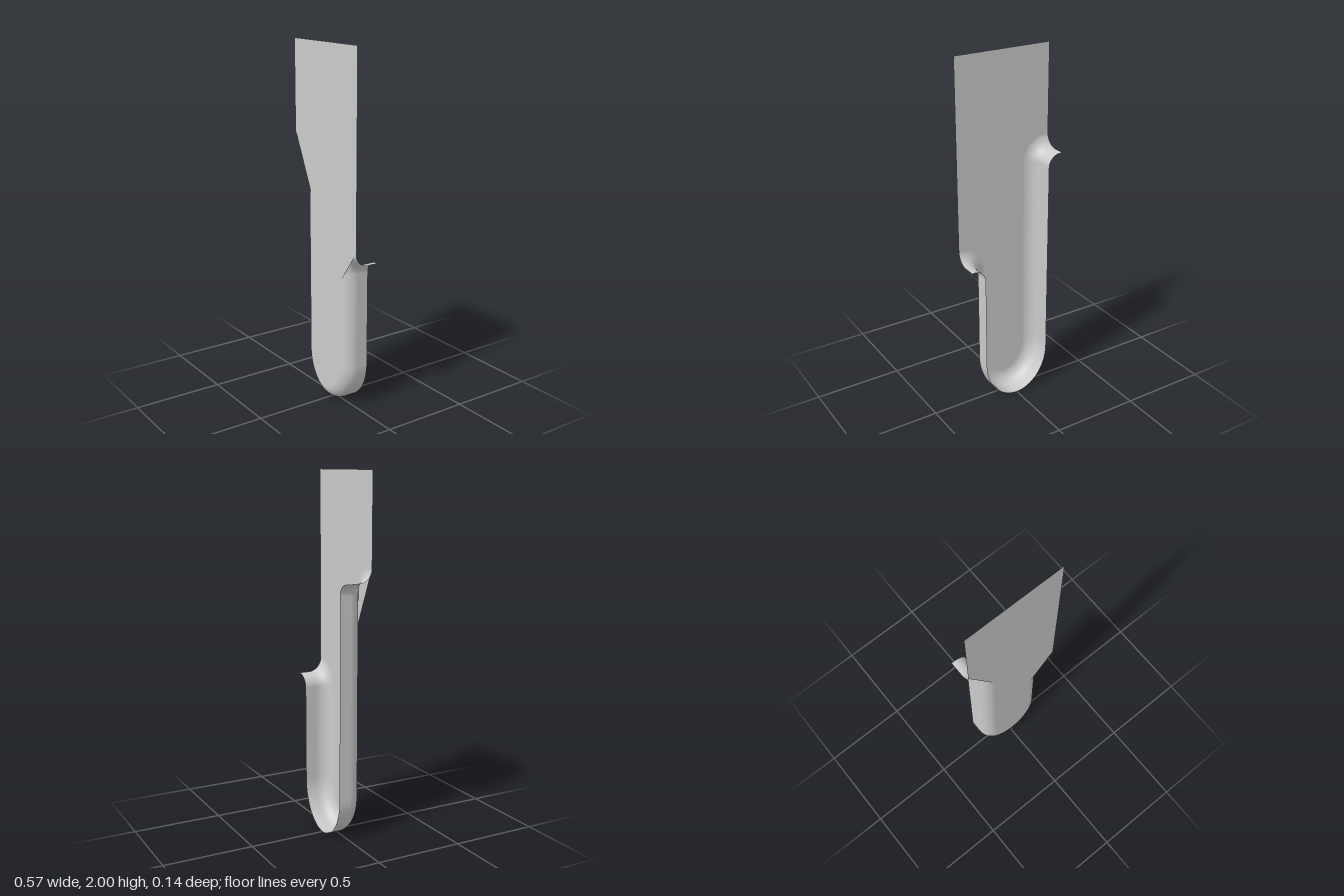
import * as THREE from 'three';

const FRONT = 0.07, BACK = -0.07, R = 0.075; // face planes and radius of the rolled edge

export function createModel() {
  const group = new THREE.Group();
  group.name = 'rolledBlade';
  const material = new THREE.MeshStandardMaterial({ color: 0xcccccc, side: THREE.DoubleSide });

  // Outer outline: left shoulder, left side, round tip, right side, right shoulder
  const outline = new THREE.Path();
  outline.moveTo(-0.285, 1.43).lineTo(-0.27, 1.43);
  outline.absarc(-0.27, 1.36, 0.07, Math.PI / 2, 0, true);
  outline.lineTo(-0.2, 0.25);
  outline.absellipse(0, 0.25, 0.2, 0.25, Math.PI, 2 * Math.PI, false);
  outline.lineTo(0.2, 0.79);
  outline.absarc(0.27, 0.79, 0.07, Math.PI, Math.PI / 2, true);
  outline.lineTo(0.285, 0.86);

  // Sample points with outward normals
  const stations = [];
  for (const curve of outline.curves) {
    if (curve.getLength() < 1e-4) continue;
    const n = curve.isLineCurve ? 1 : curve.xRadius > 0.1 ? 48 : 16;
    for (let i = 0; i <= n; i++) {
      const p = curve.getPoint(i / n), t = curve.getTangent(i / n);
      stations.push({ p, n: new THREE.Vector2(t.y, -t.x), tip: curve.xRadius > 0.1 });
    }
  }

  // Cross-section of the edge: quarter round, then a straight wall to the back
  const profile = [];
  for (let j = 0; j <= 12; j++) {
    const a = (j / 12) * Math.PI / 2;
    profile.push({ inset: R * (1 - Math.sin(a)), z: FRONT - R * (1 - Math.cos(a)), out: Math.sin(a), fwd: Math.cos(a) });
  }
  profile.push({ inset: 0, z: BACK, out: 1, fwd: 0 });

  // Rolled edge swept along the outline
  const pos = [], nor = [], idx = [], cols = profile.length;
  stations.forEach(({ p, n }, i) => {
    profile.forEach((q, j) => {
      pos.push(p.x - n.x * q.inset, p.y - n.y * q.inset, q.z);
      nor.push(n.x * q.out, n.y * q.out, q.fwd);
      if (i < stations.length - 1 && j < cols - 1) {
        const a = i * cols + j, b = a + cols;
        idx.push(a, a + 1, b, b, a + 1, b + 1);
      }
    });
  });
  const edge = new THREE.BufferGeometry();
  edge.setAttribute('position', new THREE.Float32BufferAttribute(pos, 3));
  edge.setAttribute('normal', new THREE.Float32BufferAttribute(nor, 3));
  edge.setIndex(idx);
  const rolledEdge = new THREE.Mesh(edge, material);
  rolledEdge.name = 'rolledEdge';
  group.add(rolledEdge);

  // Flat front plate with straight-cut shoulders overhanging the rolled corners
  const tip = stations.filter(s => s.tip).map(({ p, n }) => p.clone().addScaledVector(n, -R));
  const V = (x, y) => new THREE.Vector2(x, y);
  const plate = new THREE.ShapeGeometry(new THREE.Shape([
    V(-0.285, 2), V(-0.285, 1.505), V(-0.125, 1.155),
    ...tip,
    V(0.125, 0.72), V(0.285, 0.94), V(0.285, 2),
  ]));
  plate.translate(0, 0, FRONT);
  const frontPlate = new THREE.Mesh(plate, material);
  frontPlate.name = 'frontPlate';
  group.add(frontPlate);

  return group;
}
